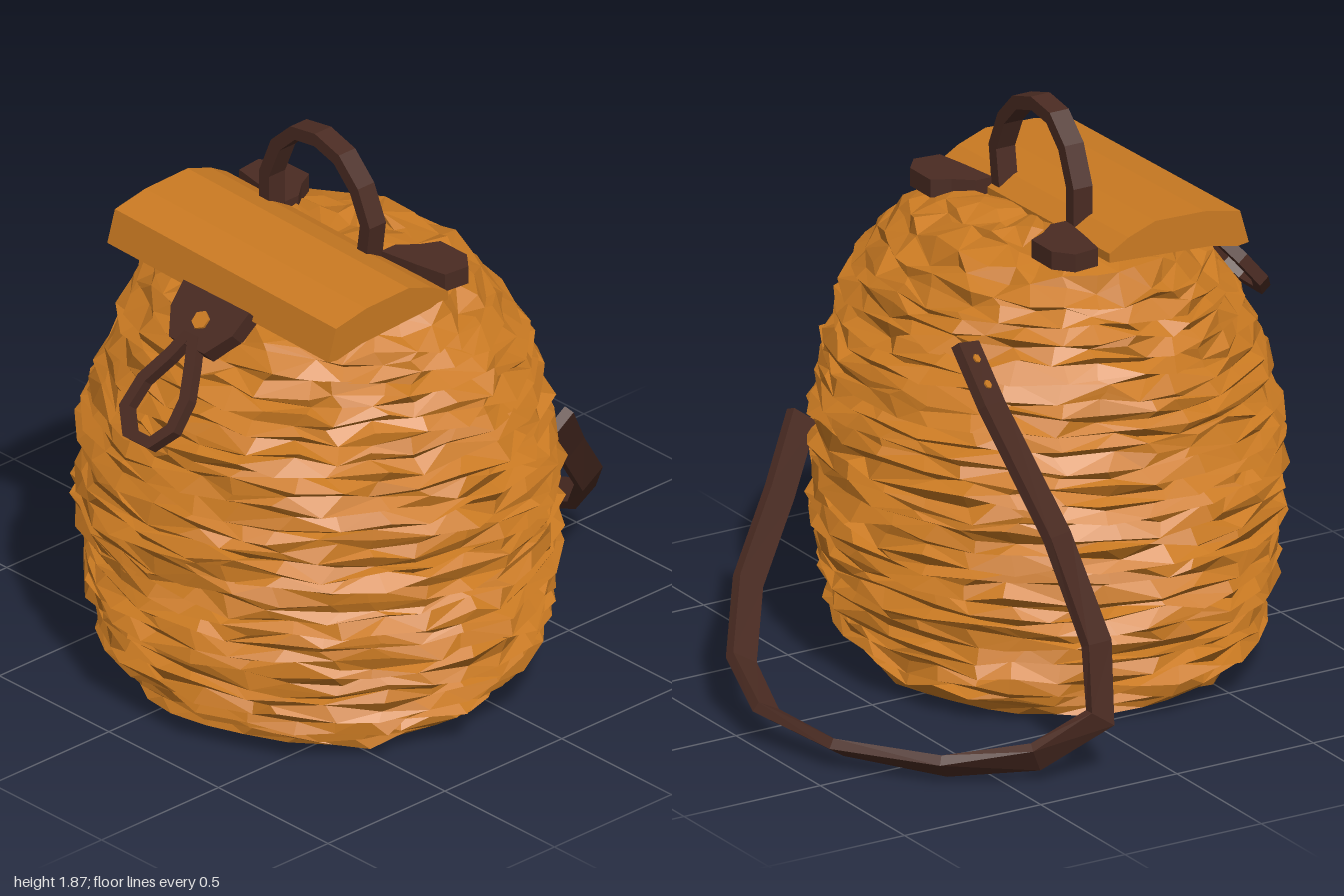
import * as THREE from 'three';

const straw = new THREE.MeshStandardMaterial({ color: 0xca7a22 });
straw.name = 'straw';
const leather = new THREE.MeshStandardMaterial({ color: 0x4a2b22 });
leather.name = 'leather';

const V = (x, y, z) => new THREE.Vector3(x, y, z);

// small seeded generator, -1..1
let seed = 7;
function rnd() {
  seed = (seed * 16807) % 2147483647;
  return (seed / 2147483647) * 2 - 1;
}

function faceted(positions, index) {
  let g = new THREE.BufferGeometry();
  g.setAttribute('position', new THREE.Float32BufferAttribute(positions, 3));
  g.setIndex(index);
  g = g.toNonIndexed();
  g.computeVertexNormals();
  return g;
}

function part(name, geometry, material) {
  const m = new THREE.Mesh(geometry, material);
  m.name = name;
  return m;
}

// rectangular band swept along points; hint is the direction of its width
function band(points, width, thick, hint, closed = false) {
  const n = points.length, pos = [], idx = [];
  points.forEach((p, i) => {
    const a = closed ? points[(i + n - 1) % n] : points[Math.max(i - 1, 0)];
    const b = closed ? points[(i + 1) % n] : points[Math.min(i + 1, n - 1)];
    const t = b.clone().sub(a).normalize();
    const w = hint.clone().addScaledVector(t, -hint.dot(t)).normalize();
    const u = t.clone().cross(w);
    for (const [s, r] of [[1, 1], [-1, 1], [-1, -1], [1, -1]]) {
      const c = p.clone().addScaledVector(w, s * width / 2).addScaledVector(u, r * thick / 2);
      pos.push(c.x, c.y, c.z);
    }
  });
  for (let i = 0; i < (closed ? n : n - 1); i++) {
    const j = (i + 1) % n;
    for (let k = 0; k < 4; k++) {
      const l = (k + 1) % 4;
      const a = i * 4 + k, b = i * 4 + l, c = j * 4 + l, d = j * 4 + k;
      idx.push(a, b, c, a, c, d);
    }
  }
  if (!closed) {
    const e = (n - 1) * 4;
    idx.push(0, 2, 1, 0, 3, 2, e, e + 1, e + 2, e, e + 2, e + 3);
  }
  return faceted(pos, idx);
}

function plate(points, depth) {
  const shape = new THREE.Shape(points.map(([x, y]) => new THREE.Vector2(x, y)));
  return new THREE.ExtrudeGeometry(shape, { depth, bevelEnabled: false });
}

// body outline: height, left, right, back, front
const OUTLINE = [
  [0, -0.45, 0.66, -0.30, 0.72], [0.05, -0.53, 0.72, -0.37, 0.79],
  [0.15, -0.60, 0.82, -0.44, 0.87], [0.35, -0.64, 0.88, -0.48, 0.92],
  [0.6, -0.65, 0.89, -0.50, 0.94], [0.8, -0.64, 0.89, -0.50, 0.94],
  [1.0, -0.59, 0.86, -0.46, 0.90], [1.2, -0.53, 0.80, -0.39, 0.81],
  [1.35, -0.48, 0.72, -0.29, 0.70], [1.43, -0.42, 0.64, -0.20, 0.59],
  [1.47, -0.32, 0.54, -0.10, 0.50], [1.485, -0.15, 0.37, 0.02, 0.36],
];

function outlineAt(s) {
  const i = Math.min(Math.floor(s), OUTLINE.length - 2);
  return OUTLINE[i].map((v, k) => THREE.MathUtils.lerp(v, OUTLINE[i + 1][k], s - i));
}

// layered straw: alternating lips and grooves with jittered heights
function bodyGeometry() {
  const seg = 30, pos = [], idx = [], rings = [];
  for (let y = 0; y < 1.43; y += 0.027) {
    let i = 0;
    while (OUTLINE[i + 1][0] <= y) i++;
    rings.push(i + (y - OUTLINE[i][0]) / (OUTLINE[i + 1][0] - OUTLINE[i][0]));
  }
  rings.push(9.4, 10, 10.5, 11);
  rings.forEach((s, j) => {
    const [y, x0, x1, z0, z1] = outlineAt(s);
    const base = j === 0, crown = s > 9;
    for (let i = 0; i < seg; i++) {
      const a = ((i + (base ? 0 : rnd() * 0.3)) / seg) * Math.PI * 2;
      const off = base ? 0 : (j % 2 ? 0.017 : -0.013) + rnd() * 0.02;
      const dy = base ? 0 : rnd() * (crown ? 0.022 : 0.02) - (j % 2 && !crown ? 0.008 : 0);
      pos.push(
        (x0 + x1) / 2 + ((x1 - x0) / 2 + off) * Math.sin(a),
        Math.max(y + dy, 0),
        (z0 + z1) / 2 + ((z1 - z0) / 2 + off) * Math.cos(a));
    }
  });
  for (let j = 0; j < rings.length - 1; j++) {
    for (let i = 0; i < seg; i++) {
      const k = (i + 1) % seg;
      const a = j * seg + i, b = j * seg + k, c = b + seg, d = a + seg;
      if ((i + j) % 2) idx.push(a, b, c, a, c, d);
      else idx.push(a, b, d, b, c, d);
    }
  }
  const low = pos.length / 3, top = (rings.length - 1) * seg;
  pos.push(0.1, 0, 0.21, 0.11, 1.49, 0.19);
  for (let i = 0; i < seg; i++) {
    const k = (i + 1) % seg;
    idx.push(low, k, i, top + i, top + k, low + 1);
  }
  return faceted(pos, idx);
}

export function createModel() {
  seed = 7;
  const model = new THREE.Group();
  model.name = 'backpack';
  model.add(part('body', bodyGeometry(), straw));

  // flap with a turned-down front edge
  const flapGeo = plate([[0.13, 1.46], [0.5, 1.44], [0.6, 1.42], [0.64, 1.425], [0.61, 1.535],
    [0.48, 1.56], [0.3, 1.565], [0.2, 1.53], [0.13, 1.49]], 1.01);
  flapGeo.rotateY(-Math.PI / 2).translate(0.505, -1.5, 0).rotateZ(-0.025).translate(0.115, 1.51, 0);
  model.add(part('flap', flapGeo, straw));

  // carrying handle
  const handle = [[-0.13, 1.49], [-0.13, 1.64], [-0.08, 1.76], [0, 1.835], [0.1, 1.85],
    [0.2, 1.82], [0.28, 1.74], [0.33, 1.63], [0.31, 1.49]].map(([x, y]) => V(x, y, 0.18));
  model.add(part('handle', band(handle, 0.07, 0.045, V(0, 0, 1)), leather));

  // handle anchors, mirrored about the middle of the pack
  for (const side of [-1, 1]) {
    const pts = [[0.48, 0.02], [0.42, -0.03], [0.3, -0.03], [0.27, 0.03], [0.22, 0.09],
      [0.22, 0.15], [0.36, 0.13], [0.47, 0.11]].map(([x, z]) => [0.115 + side * x, z]);
    const g = plate(pts, 0.06).rotateX(Math.PI / 2).translate(0, 1.525, 0);
    model.add(part(side < 0 ? 'handleAnchorRight' : 'handleAnchorLeft', g, leather));
  }

  // clasp plate with its stud
  const clasp = new THREE.Group();
  clasp.name = 'clasp';
  const claspGeo = plate([[-0.15, 0.09], [0.15, 0.09], [0.14, 0], [0.08, -0.09], [-0.08, -0.09],
    [-0.14, 0]], 0.06);
  const stud = part('claspStud', new THREE.CylinderGeometry(0.032, 0.032, 0.008, 6), straw);
  stud.rotation.x = Math.PI / 2;
  stud.position.set(0, 0, 0.064);
  clasp.add(part('claspPlate', claspGeo, leather), stud);
  clasp.position.set(0.12, 1.36, 0.675);
  clasp.rotation.x = -0.8;
  model.add(clasp);

  // hanging teardrop loop
  const loop = [[0.01, 0], [0.05, 0.22], [0.095, 0.5], [0.1, 0.78], [0.05, 0.97],
    [-0.05, 0.97], [-0.11, 0.78], [-0.1, 0.5], [-0.05, 0.22], [-0.02, 0]]
    .map(([x, t]) => V(0.12 + x, 1.35 - 0.28 * t, 0.75 + 0.23 * t));
  model.add(part('claspLoop', band(loop, 0.04, 0.04, V(0, 0.63, 0.77), true), leather));

  // shoulder strap sweeping round the back
  const strap = [V(-0.26, 1.26, -0.32), V(-0.4, 1.1, -0.31), V(-0.66, 0.73, -0.23),
    V(-0.83, 0.42, -0.19), V(-0.9, 0.2, -0.22), V(-0.84, 0.09, -0.42), V(-0.67, 0.05, -0.65),
    V(-0.38, 0.06, -0.86), V(-0.08, 0.1, -0.94), V(0.13, 0.19, -0.9), V(0.3, 0.37, -0.77),
    V(0.42, 0.59, -0.58), V(0.53, 0.78, -0.43)];
  model.add(part('shoulderStrap', band(strap, 0.1, 0.035, V(0, 0.5, -0.85)), leather));

  // rivets on the strap's upper end
  const out = V(-0.62, 0.72, -0.3);
  const along = strap[1].clone().sub(strap[0]).normalize();
  const across = V(0, 0.5, -0.85).addScaledVector(along, -V(0, 0.5, -0.85).dot(along)).normalize();
  out.crossVectors(along, across);
  for (const face of [-1, 1]) {
    for (const t of [0.06, 0.15]) {
      const r = part('strapRivet', new THREE.CylinderGeometry(0.015, 0.015, 0.008, 6), straw);
      r.position.copy(strap[0]).addScaledVector(along, t).addScaledVector(out, face * 0.019);
      r.quaternion.setFromUnitVectors(V(0, 1, 0), out);
      model.add(r);
    }
  }
  return model;
}
